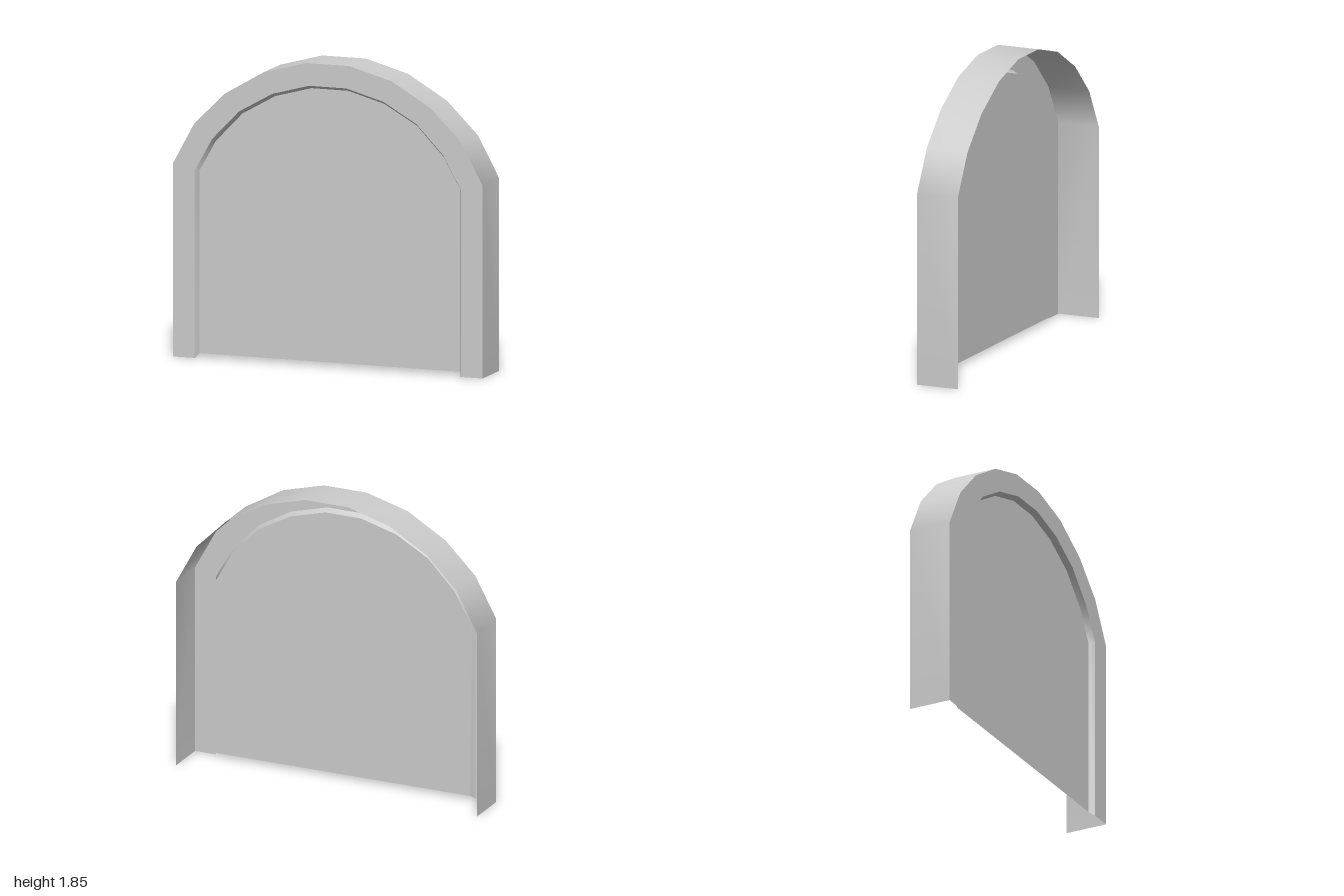
import * as THREE from 'three';

const FRONT = 0.135, BACK = -0.135, PANEL = 0.1;

// Right half of each arch outline, from the foot up to the crown
const OUTER = [[1, 0], [1, 1.18], [0.862, 1.433], [0.664, 1.628], [0.414, 1.775], [0.142, 1.85]];
const INNER = [[0.86, 0], [0.86, 1.145], [0.747, 1.345], [0.574, 1.524], [0.36, 1.646], [0.121, 1.712]];
const INSET = [[0.843, 0.025], [0.843, 1.14], [0.737, 1.328], [0.564, 1.508], [0.352, 1.628], [0.118, 1.692]];

// Mirrors a half outline into a full arch running from right foot to left foot
function arch(half) {
  return [...half, ...half.map(([x, y]) => [-x, y]).reverse()];
}

// Open strip joining two arches, each lying at its own depth
function strip(halfA, zA, halfB, zB) {
  const a = arch(halfA), b = arch(halfB);
  const positions = [], index = [];
  a.forEach((p, i) => {
    positions.push(...p, zA, ...b[i], zB);
    if (i < a.length - 1) {
      const k = i * 2;
      index.push(k, k + 1, k + 2, k + 1, k + 3, k + 2);
    }
  });
  const geometry = new THREE.BufferGeometry();
  geometry.setAttribute('position', new THREE.Float32BufferAttribute(positions, 3));
  geometry.setIndex(index);
  geometry.computeVertexNormals();
  return geometry;
}

export function createModel() {
  const group = new THREE.Group();
  group.name = 'archedDoorway';
  const grey = new THREE.MeshStandardMaterial({ color: 0xcccccc, side: THREE.DoubleSide });
  grey.name = 'lightGrey';

  const add = (name, geometry) => {
    const mesh = new THREE.Mesh(geometry, grey);
    mesh.name = name;
    group.add(mesh);
    return mesh;
  };

  // Outer wall of the frame, open at the back and underneath
  add('frameSide', strip(OUTER, FRONT, OUTER, BACK));
  // Flat front face of the frame
  add('frameFront', strip(INNER, FRONT, OUTER, FRONT));
  // Narrow sloping lip leading in to the panel
  add('innerLip', strip(INSET, PANEL, INNER, FRONT));
  // Recessed panel filling the arch
  const outline = new THREE.Shape(arch(INSET).map(([x, y]) => new THREE.Vector2(x, y)));
  add('panel', new THREE.ShapeGeometry(outline)).position.z = PANEL;

  return group;
}
